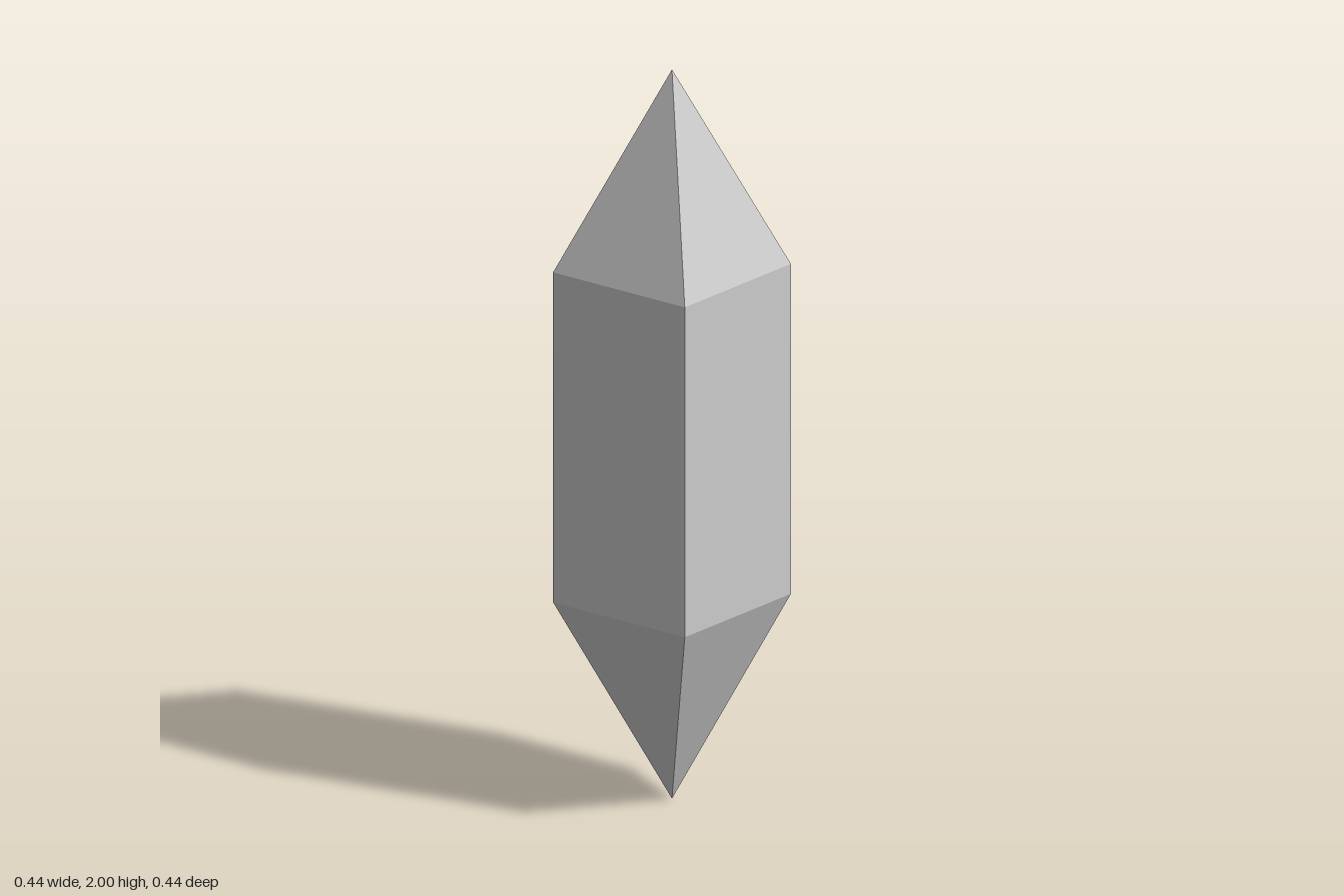
import * as THREE from 'three';

const HALF = 0.219; // half width of the square section
const LOW = 0.55; // lower shoulder height
const HIGH = 1.455; // upper shoulder height

export function createModel() {
  const group = new THREE.Group();
  group.name = 'crystal';
  const material = new THREE.MeshStandardMaterial({ color: 0xcccccc, flatShading: true });

  // Four-sided tapered section, turned so its flat sides face the axes
  function addSection(name, topHalf, bottomHalf, y0, y1) {
    const geometry = new THREE.CylinderGeometry(
      topHalf * Math.SQRT2, bottomHalf * Math.SQRT2, y1 - y0, 4, 1, true);
    geometry.rotateY(Math.PI / 4);
    geometry.translate(0, (y0 + y1) / 2, 0);
    const mesh = new THREE.Mesh(geometry, material);
    mesh.name = name;
    group.add(mesh);
  }

  addSection('lowerPoint', HALF, 0, 0, LOW);
  addSection('shaft', HALF, HALF, LOW, HIGH);
  addSection('upperPoint', 0, HALF, HIGH, 2);

  return group;
}
